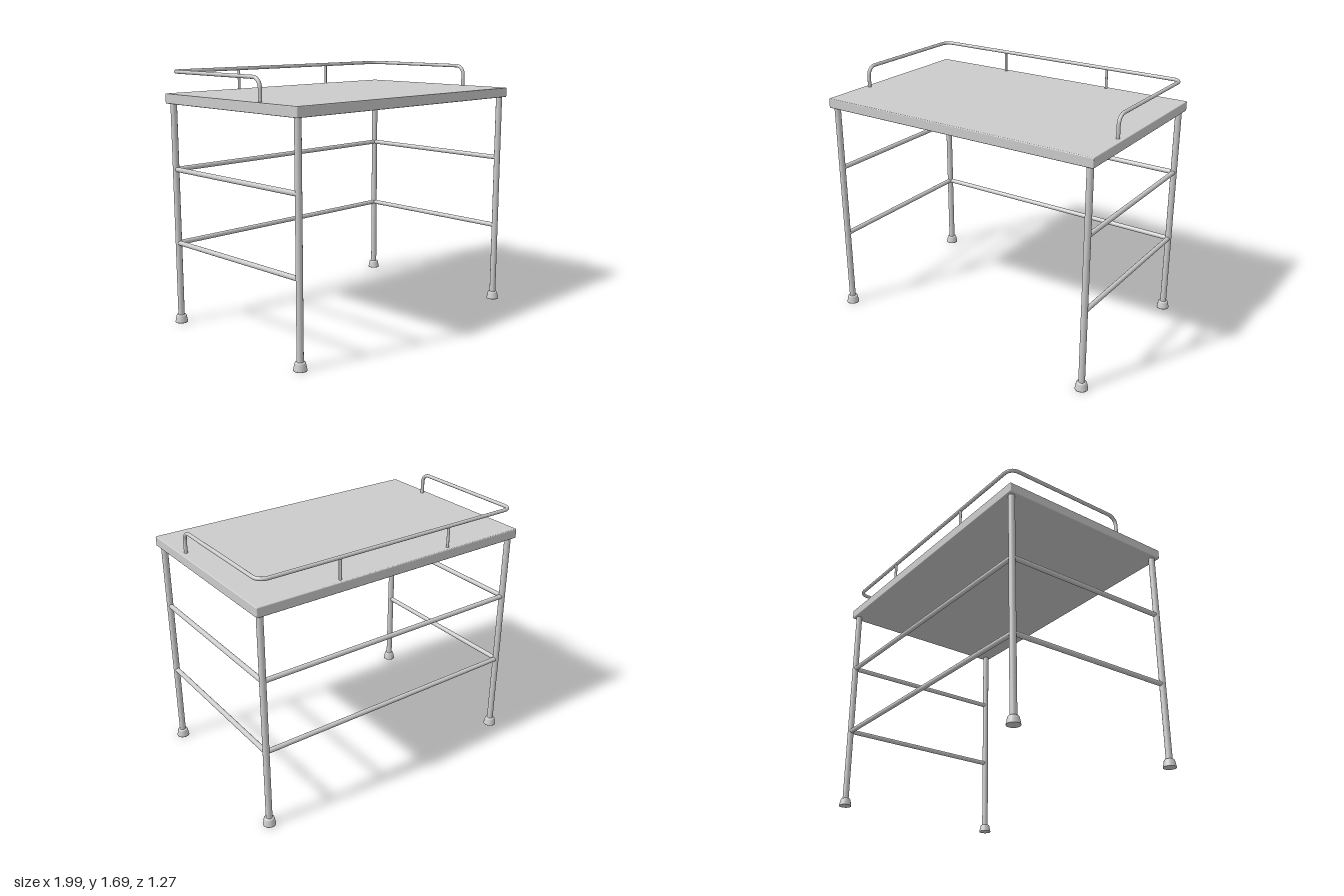
import * as THREE from 'three';
import { RoundedBoxGeometry } from 'three/addons/geometries/RoundedBoxGeometry.js';

const LEG_X = 0.955, LEG_Z = 0.595, TOP_Y = 1.54, BOTTOM_Y = 1.475, GUARD_Y = 1.68;

export function createModel() {
  const model = new THREE.Group();
  model.name = 'railedTable';
  const material = new THREE.MeshStandardMaterial({ color: 0xcccccc });

  const add = (name, geometry, x = 0, y = 0, z = 0) => {
    const mesh = new THREE.Mesh(geometry, material);
    mesh.name = name;
    mesh.position.set(x, y, z);
    model.add(mesh);
    return mesh;
  };

  // Straight round bar between two points
  const bar = (name, from, to, radius) => {
    const a = new THREE.Vector3(...from), b = new THREE.Vector3(...to);
    const dir = b.clone().sub(a);
    const mesh = add(name, new THREE.CylinderGeometry(radius, radius, dir.length(), 20));
    mesh.position.copy(a).add(b).multiplyScalar(0.5);
    mesh.quaternion.setFromUnitVectors(new THREE.Vector3(0, 1, 0), dir.normalize());
  };

  // Table top
  add('tableTop', new RoundedBoxGeometry(1.986, TOP_Y - BOTTOM_Y, 1.264, 3, 0.006), 0, (TOP_Y + BOTTOM_Y) / 2, 0);

  // Legs with flared rubber feet
  const footProfile = [[0, 0], [0.042, 0], [0.042, 0.003], [0.034, 0.044], [0.03, 0.051], [0.02, 0.053]]
    .map(([r, y]) => new THREE.Vector2(r, y));
  const footGeometry = new THREE.LatheGeometry(footProfile, 24);
  for (const sx of [-1, 1]) {
    for (const sz of [-1, 1]) {
      bar('leg', [sx * LEG_X, 0.02, sz * LEG_Z], [sx * LEG_X, BOTTOM_Y + 0.01, sz * LEG_Z], 0.021);
      add('foot', footGeometry, sx * LEG_X, 0, sz * LEG_Z);
    }
  }

  // Two levels of stretchers on the back and both sides; the front stays open
  for (const y of [0.55, 1.045]) {
    bar('backStretcher', [-LEG_X, y, -LEG_Z], [LEG_X, y, -LEG_Z], 0.016);
    for (const sx of [-1, 1]) {
      bar('sideStretcher', [sx * LEG_X, y, -LEG_Z], [sx * LEG_X, y, LEG_Z], 0.016);
    }
  }

  // Guard rail: one bent tube around the sides and back, with rounded corners
  const corners = [
    [-LEG_X, TOP_Y - 0.01, 0.275], [-LEG_X, GUARD_Y, 0.275], [-LEG_X, GUARD_Y, -0.6],
    [LEG_X, GUARD_Y, -0.6], [LEG_X, GUARD_Y, 0.275], [LEG_X, TOP_Y - 0.01, 0.275],
  ].map((p) => new THREE.Vector3(...p));
  const bend = 0.06, k = 0.4477; // k places Bezier handles for a circular bend
  const path = new THREE.CurvePath();
  let last = corners[0];
  for (let i = 1; i < corners.length - 1; i++) {
    const c = corners[i];
    const back = corners[i - 1].clone().sub(c).normalize();
    const ahead = corners[i + 1].clone().sub(c).normalize();
    const start = c.clone().addScaledVector(back, bend);
    const end = c.clone().addScaledVector(ahead, bend);
    path.add(new THREE.LineCurve3(last, start));
    path.add(new THREE.CubicBezierCurve3(start, c.clone().addScaledVector(back, bend * k),
      c.clone().addScaledVector(ahead, bend * k), end));
    last = end;
  }
  path.add(new THREE.LineCurve3(last, corners[corners.length - 1]));
  add('guardRail', new THREE.TubeGeometry(path, 300, 0.012, 14, false));

  // Posts under the back of the guard rail
  for (const sx of [-1, 1]) {
    bar('guardPost', [sx * 0.413, TOP_Y - 0.01, -0.6], [sx * 0.413, GUARD_Y, -0.6], 0.009);
  }

  return model;
}
